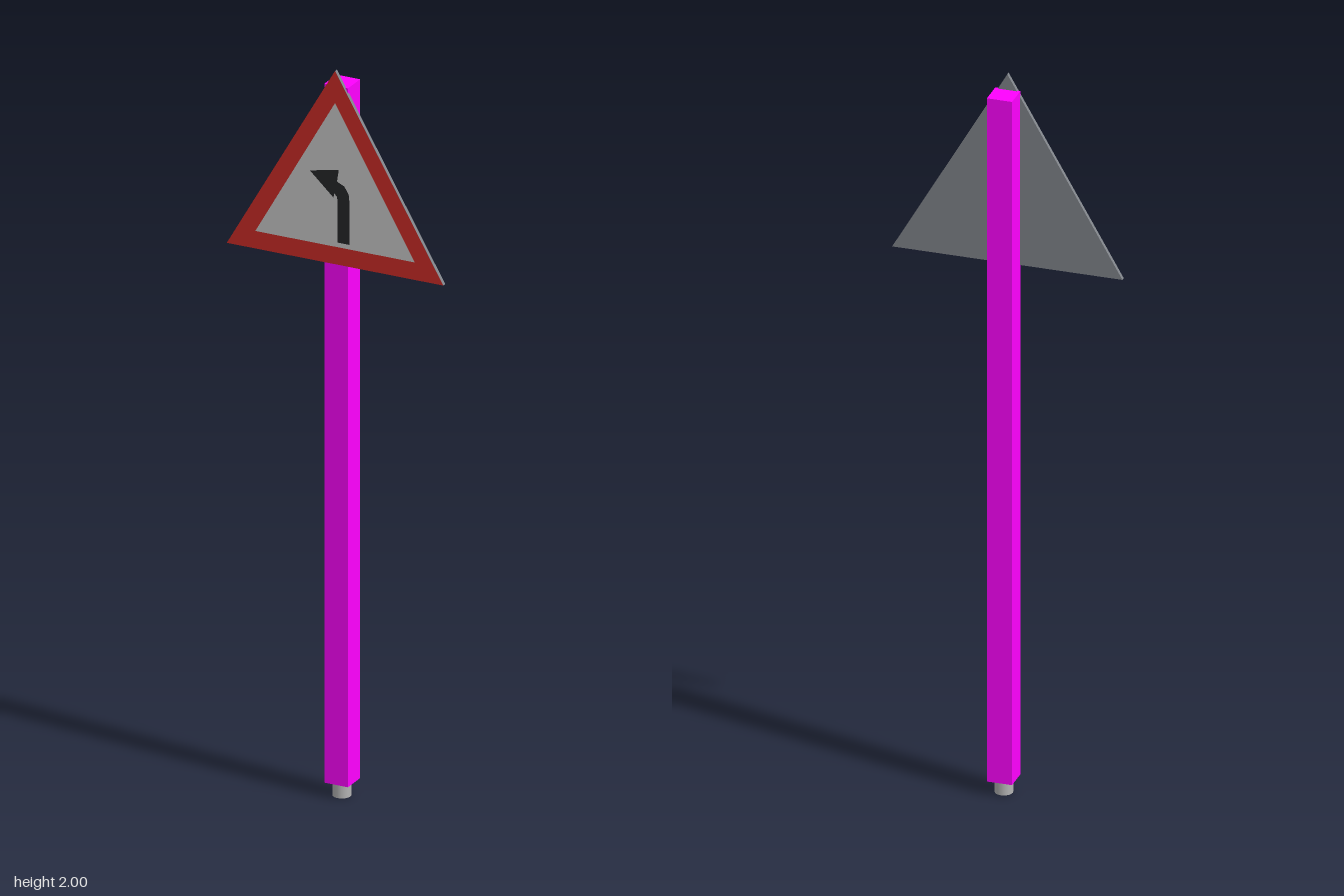
import * as THREE from 'three';

const material = (color) => new THREE.MeshStandardMaterial({ color });

const polygon = (points) => new THREE.Shape(points.map(([x, y]) => new THREE.Vector2(x, y)));

function addMesh(group, name, geometry, color, x = 0, y = 0, z = 0) {
  const mesh = new THREE.Mesh(geometry, material(color));
  mesh.name = name;
  mesh.position.set(x, y, z);
  group.add(mesh);
  return mesh;
}

export function createModel() {
  const group = new THREE.Group();
  group.name = 'roadSign';
  const postZ = -0.0065;

  // Square post on a short round foot
  addMesh(group, 'post', new THREE.BoxGeometry(0.067, 1.917, 0.067), 0xff00ff, 0, 0.9975, postZ);
  addMesh(group, 'postFoot', new THREE.CylinderGeometry(0.024, 0.024, 0.06, 16), 0xb4b4b4, 0, 0.03, postZ + 0.002);

  // Triangular backing plate
  const outer = [[-0.307, 1.47], [0.307, 1.47], [0, 2]];
  const inner = [[-0.226, 1.518], [0.226, 1.518], [0, 1.912]];
  const plate = new THREE.ExtrudeGeometry(polygon(outer), { depth: 0.0107, bevelEnabled: false });
  addMesh(group, 'signPlate', plate, 0x80848a, 0, 0, 0.0225);

  // Coloured face: border with a triangular opening, and the panel inside it
  const border = polygon(outer);
  border.holes.push(polygon(inner));
  addMesh(group, 'signBorder', new THREE.ShapeGeometry(border), 0xcf2c27, 0, 0, 0.0337);
  addMesh(group, 'signPanel', new THREE.ShapeGeometry(polygon(inner)), 0xcccccc, 0, 0, 0.0337);

  // Arrow: straight stem, bend to the side, pointed head
  const arrow = polygon([
    [0.008, 1.531], [0.042, 1.531], [0.042, 1.64], [0.039, 1.668], [0.027, 1.688], [0.006, 1.698],
    [0.011, 1.731], [-0.071, 1.714], [-0.004, 1.652], [-0.002, 1.664], [0.006, 1.656], [0.008, 1.64],
  ]);
  addMesh(group, 'turnArrow', new THREE.ShapeGeometry(arrow), 0x262829, 0, 0, 0.0342);

  return group;
}
